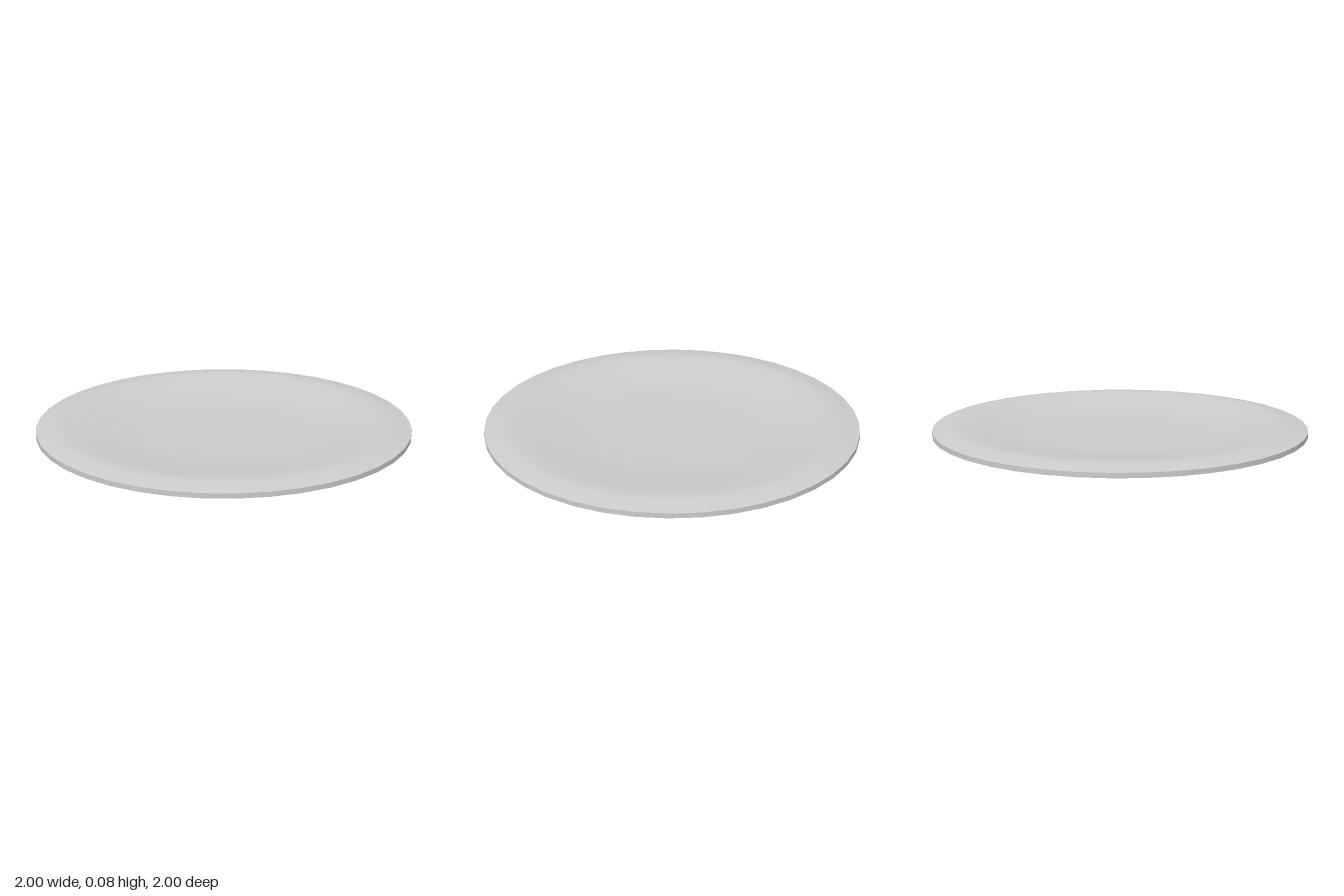
import * as THREE from 'three';
import { toCreasedNormals } from 'three/addons/utils/BufferGeometryUtils.js';

export function createModel() {
  const group = new THREE.Group();
  group.name = 'plate';
  const material = new THREE.MeshStandardMaterial({ color: 0xcccccc });

  // Closed profile (radius, height): underside outwards, edge, then back in over the top
  const profile = [
    // foot and underside
    [0, 0], [0.42, 0], [0.5, 0.007], [0.58, 0.019], [0.66, 0.027], [0.78, 0.03], [1, 0.033],
    // outer edge and raised lip
    [1, 0.059], [0.95, 0.069], [0.9, 0.079], [0.87, 0.08], [0.81, 0.075],
    // sloping well and flat centre
    [0.76, 0.067], [0.62, 0.046], [0.52, 0.034], [0.43, 0.029], [0, 0.028],
  ].map(([r, y]) => new THREE.Vector2(r, y));

  const dish = new THREE.Mesh(
    toCreasedNormals(new THREE.LatheGeometry(profile, 40), 0.6),
    material
  );
  dish.name = 'dish';
  group.add(dish);
  return group;
}
